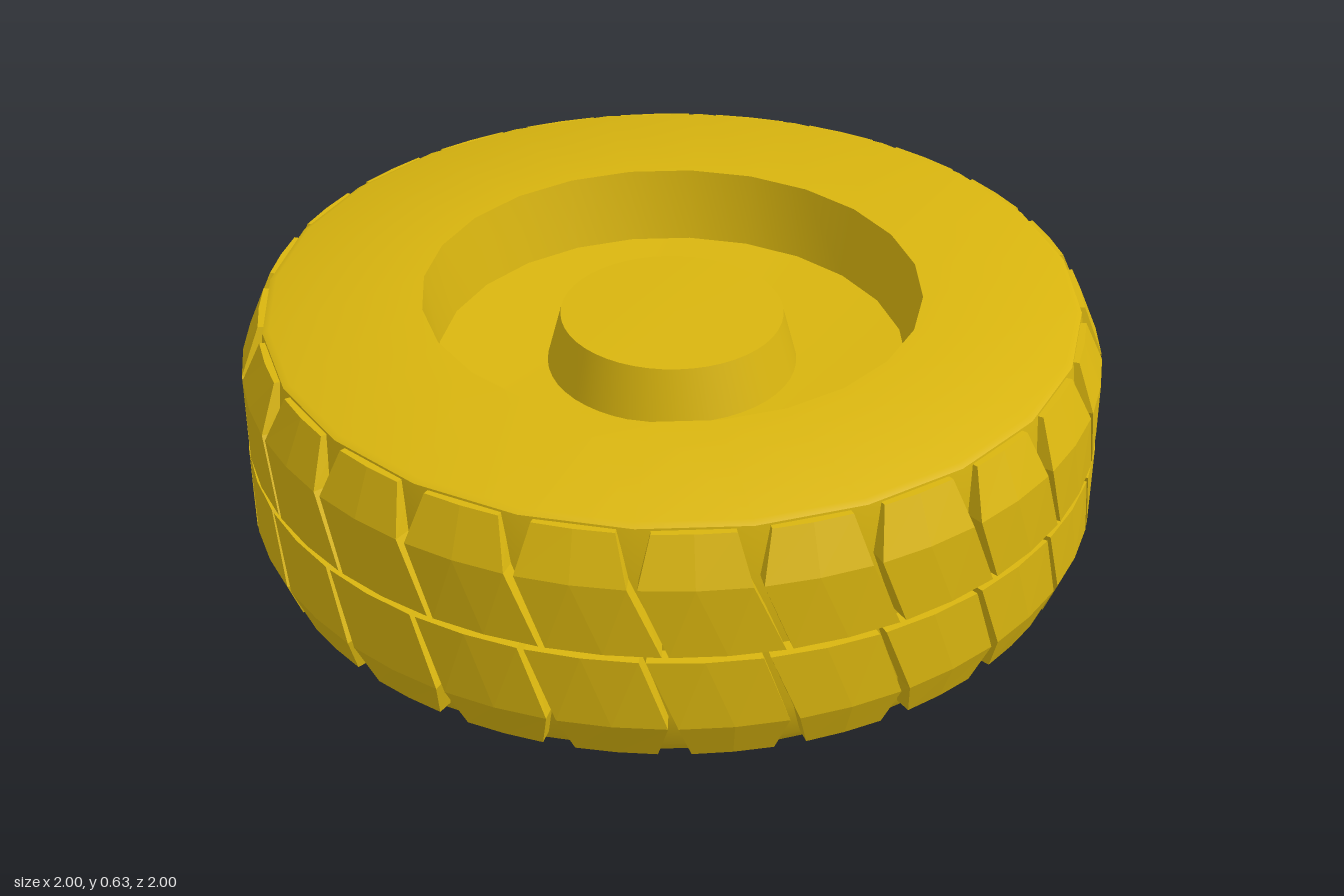
import * as THREE from 'three';
import { toCreasedNormals } from 'three/addons/utils/BufferGeometryUtils.js';

const COUNT = 24;
const PITCH = (Math.PI * 2) / COUNT;

// Turned part from [radius, y] points, listed from the bottom centre outwards and up
function turned(name, points, segments, material) {
  const lathe = new THREE.LatheGeometry(points.map(([r, y]) => new THREE.Vector2(r, y)), segments);
  const mesh = new THREE.Mesh(toCreasedNormals(lathe, 0.5), material);
  mesh.name = name;
  return mesh;
}

// One tread block, lofted through rows of [y, outer radius, inner radius, start angle, end angle]
function treadGeometry(rows) {
  const positions = [];
  const index = [];
  const quad = (a, b, c, d) => index.push(a, b, c, a, c, d);
  for (const [y, outer, inner, start, end] of rows) {
    const mid = (start + end) / 2;
    const section = [[start, outer], [mid, outer], [end, outer], [end, inner], [mid, inner], [start, inner]];
    for (const [a, r] of section) positions.push(r * Math.sin(a), y, r * Math.cos(a));
  }
  for (let j = 0; j < rows.length - 1; j++) {
    for (let i = 0; i < 6; i++) {
      const k = (i + 1) % 6;
      quad(j * 6 + i, j * 6 + k, j * 6 + 6 + k, j * 6 + 6 + i);
    }
  }
  // End caps
  const t = (rows.length - 1) * 6;
  quad(t, t + 1, t + 4, t + 5);
  quad(t + 1, t + 2, t + 3, t + 4);
  quad(5, 4, 1, 0);
  quad(4, 3, 2, 1);
  const geometry = new THREE.BufferGeometry();
  geometry.setAttribute('position', new THREE.Float32BufferAttribute(positions, 3));
  geometry.setIndex(index);
  const flat = geometry.toNonIndexed();
  flat.computeVertexNormals();
  return flat;
}

// Ring of identical tread blocks
function treadRing(name, rows, material) {
  const ring = new THREE.Group();
  ring.name = name;
  const geometry = treadGeometry(rows);
  for (let i = 0; i < COUNT; i++) {
    const block = new THREE.Mesh(geometry, material);
    block.name = 'treadBlock';
    block.rotation.y = i * PITCH;
    ring.add(block);
  }
  return ring;
}

export function createModel() {
  const model = new THREE.Group();
  model.name = 'wheel';
  const rubber = new THREE.MeshStandardMaterial({ color: 0xd9b50f });
  const treadRubber = new THREE.MeshStandardMaterial({ color: 0xd9b50f, flatShading: true });

  // Tyre body with closed base, domed sidewall and recessed rim
  model.add(turned('tyreBody', [
    [0, 0], [0.91, 0], [0.925, 0.025], [0.96, 0.13], [0.96, 0.49],
    [0.945, 0.605], [0.93, 0.612], [0.58, 0.63], [0.55, 0.455], [0.28, 0.44], [0, 0.44],
  ], COUNT, rubber));

  // Tapered hub in the recess
  model.add(turned('hub', [[0.295, 0.43], [0.26, 0.565], [0, 0.57]], 48, rubber));

  // Slanted blocks whose grooves widen at the shoulders
  model.add(treadRing('upperTread', [
    [0.32, 1.0, 0.92, 0.075, PITCH + 0.06],
    [0.49, 1.0, 0.92, 0.01, PITCH - 0.012],
    [0.6, 0.955, 0.9, 0.035, PITCH - 0.04],
  ], treadRubber));
  model.add(treadRing('lowerTread', [
    [0.03, 0.96, 0.89, 0.125, PITCH + 0.05],
    [0.13, 1.0, 0.92, 0.095, PITCH + 0.073],
    [0.305, 1.0, 0.92, 0.027, PITCH + 0.012],
  ], treadRubber));

  return model;
}
